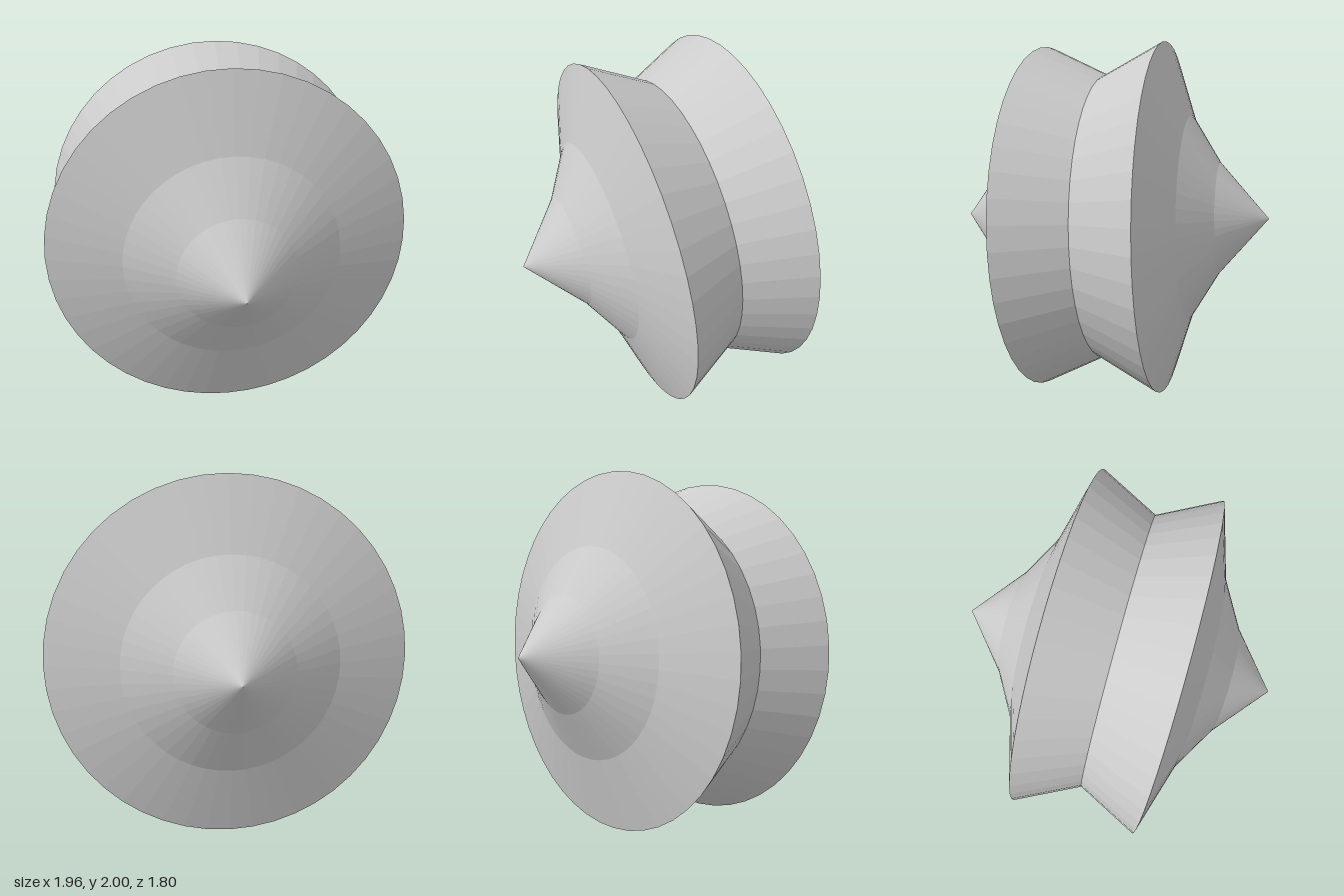
import * as THREE from 'three';

export function createModel() {
  const group = new THREE.Group();
  const material = new THREE.MeshStandardMaterial({ color: 0xcccccc, flatShading: true });
  const segments = 48;
  const tilt = 0.065;

  // Half profile as [radius, distance along the axis], from waist to tip
  const half = [[0.81, 0], [0.98, 0.343], [0.577, 0.473], [0.313, 0.632], [0, 0.902]];

  const body = new THREE.Group();
  body.name = 'spool';

  // Each half: flared waist band and a stepped conical cap
  function addPart(name, profile, side) {
    const points = profile.map(([r, d]) => new THREE.Vector2(r, d * side));
    if (side < 0) points.reverse();
    const mesh = new THREE.Mesh(new THREE.LatheGeometry(points, segments), material);
    mesh.name = name;
    body.add(mesh);
  }
  for (const [label, side] of [['front', 1], ['back', -1]]) {
    addPart(label + 'WaistBand', half.slice(0, 2), side);
    addPart(label + 'Cap', half.slice(1), side);
  }

  // Lay the axis along z, with the front tip dipping slightly
  body.rotation.x = Math.PI / 2 + tilt;
  body.position.y = 1;
  group.add(body);
  return group;
}
